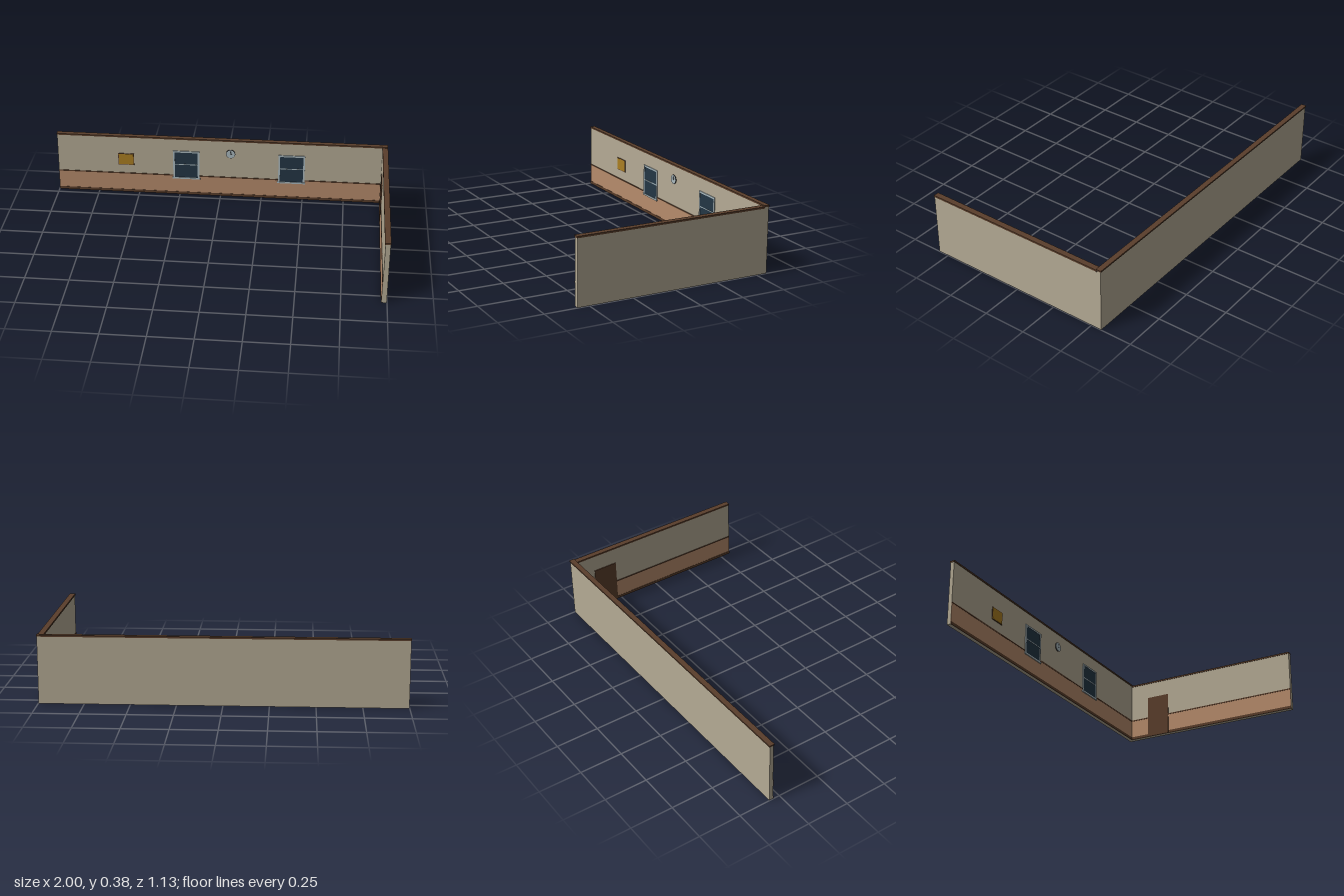
import * as THREE from 'three';

function mat(name, color) {
  const m = new THREE.MeshStandardMaterial({ color });
  m.name = name;
  return m;
}

export function createModel() {
  const plaster = mat('plaster', 0xb5ab95);
  const panel = mat('wainscot', 0xb78c6c);
  const wood = mat('darkWood', 0x5a3e2b);
  const glass = mat('nightGlass', 0x243645);
  const pale = mat('paleFrame', 0xacbbc0);
  const gold = mat('goldPicture', 0xab7f22);
  const ink = mat('ink', 0x2b2b2e);

  const model = new THREE.Group();
  model.name = 'roomCorner';

  // Box given by its two extreme corners
  function box(parent, name, material, [x0, y0, z0], [x1, y1, z1]) {
    const mesh = new THREE.Mesh(new THREE.BoxGeometry(x1 - x0, y1 - y0, z1 - z0), material);
    mesh.position.set((x0 + x1) / 2, (y0 + y1) / 2, (z0 + z1) / 2);
    mesh.name = name;
    parent.add(mesh);
    return mesh;
  }

  const F = -0.54; // inner face of back wall
  const S = 0.97; // inner face of side wall

  // Walls and their caps
  box(model, 'backWall', plaster, [-0.998, 0, -0.563], [0.998, 0.372, F]);
  box(model, 'sideWall', plaster, [S, 0, F], [0.998, 0.365, 0.565]);
  box(model, 'backCap', wood, [-1, 0.372, -0.567], [1, 0.381, -0.536]);
  box(model, 'sideCap', wood, [0.967, 0.365, -0.538], [1, 0.375, 0.567]);

  // Wainscot, skirting and chair rail along both inner faces
  const bands = [
    ['skirting', wood, 0, 0.017, 0.003],
    ['wainscot', panel, 0.017, 0.125, 0.0015],
    ['chairRail', wood, 0.125, 0.132, 0.003],
  ];
  for (const [name, material, y0, y1, d] of bands) {
    box(model, name + 'Back', material, [-0.998, y0, F], [S, y1, F + d]);
    box(model, name + 'Side', material, [S - d, y0, F], [S, y1, 0.565]);
  }

  // Windows with frame, crossbar and sill
  for (const x of [-0.21, 0.43]) {
    const win = new THREE.Group();
    win.name = 'window';
    win.position.set(x, 0, F);
    model.add(win);
    box(win, 'glass', glass, [-0.072, 0.117, 0], [0.072, 0.288, 0.0035]);
    for (const s of [-1, 1]) {
      const x0 = s < 0 ? -0.08 : 0.07;
      box(win, 'frameSide', pale, [x0, 0.117, 0], [x0 + 0.01, 0.296, 0.005]);
    }
    box(win, 'frameTop', pale, [-0.08, 0.286, 0], [0.08, 0.296, 0.0052]);
    box(win, 'crossbar', pale, [-0.072, 0.203, 0], [0.072, 0.208, 0.0045]);
    box(win, 'sill', pale, [-0.085, 0.108, 0], [0.085, 0.118, 0.007]);
  }

  // Framed picture
  box(model, 'pictureFrame', wood, [-0.627, 0.187, F], [-0.53, 0.263, F + 0.003]);
  box(model, 'picture', gold, [-0.623, 0.191, F], [-0.534, 0.259, F + 0.0045]);

  // Wall clock
  const clock = new THREE.Group();
  clock.name = 'clock';
  clock.position.set(0.06, 0.29, F);
  model.add(clock);
  function disc(name, material, r, depth) {
    const mesh = new THREE.Mesh(new THREE.CylinderGeometry(r, r, depth, 24), material);
    mesh.rotation.x = Math.PI / 2;
    mesh.position.z = depth / 2;
    mesh.name = name;
    clock.add(mesh);
  }
  disc('clockRim', ink, 0.028, 0.004);
  disc('clockFace', pale, 0.0255, 0.005);
  box(clock, 'minuteHand', ink, [-0.001, 0, 0.005], [0.001, 0.019, 0.006]);
  box(clock, 'hourHand', ink, [-0.001, -0.001, 0.005], [0.008, 0.001, 0.006]);

  // Door on the inner face of the side wall
  box(model, 'door', wood, [S - 0.0045, 0, -0.42], [S, 0.265, -0.275]);

  return model;
}
